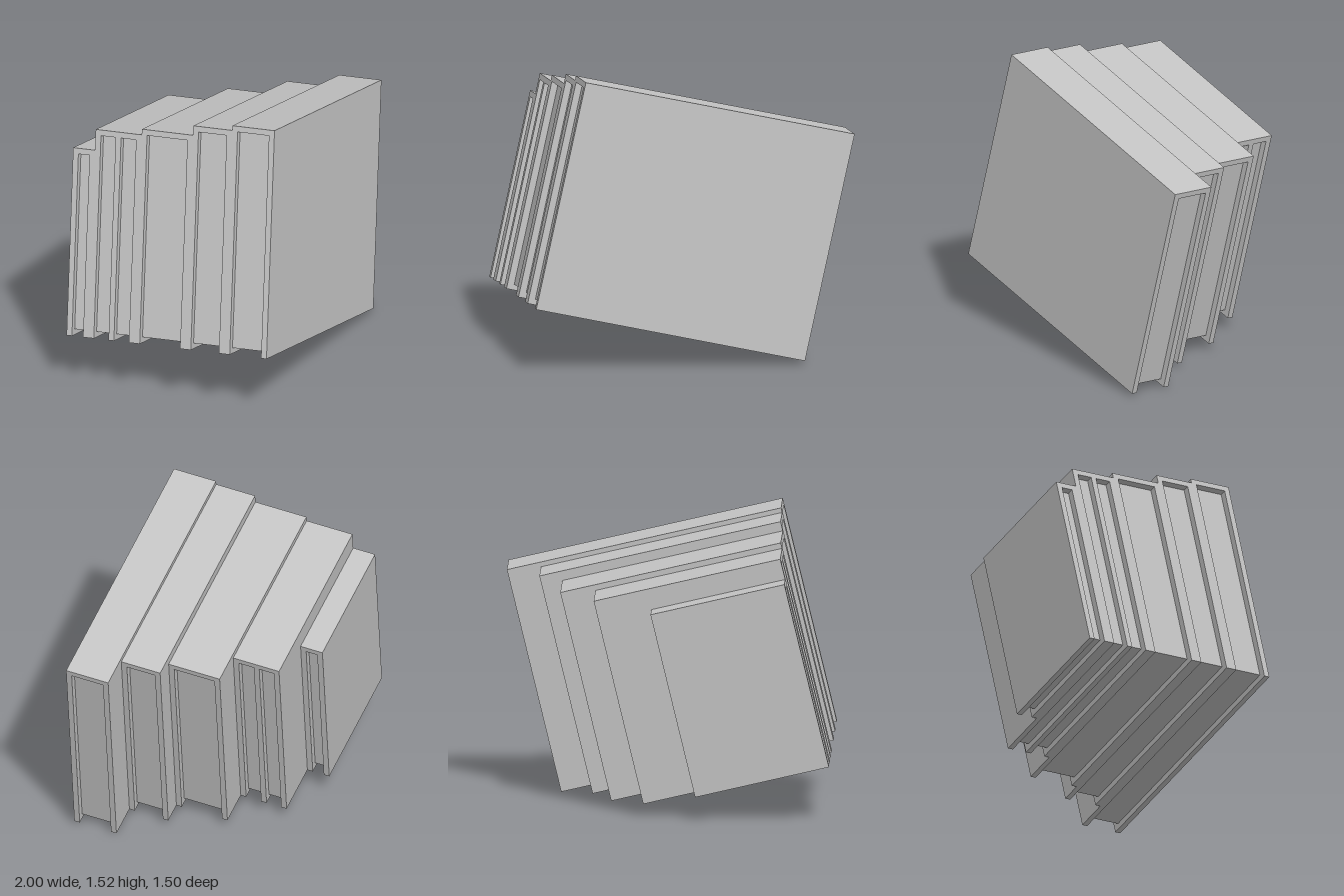
import * as THREE from 'three';

export function createModel() {
  const grey = new THREE.MeshStandardMaterial({ color: 0xc4c4c4 });
  grey.name = 'grey';

  const BOARD = 0.03;   // thickness of covers and spine
  const END = 0.035;    // page recess at both ends
  const FORE = 0.03;    // page recess at the open edge

  // Box between two corners, x along the book, y towards the spine, z through the row
  function slab(name, x0, x1, y0, y1, z0, z1) {
    const mesh = new THREE.Mesh(new THREE.BoxGeometry(x1 - x0, y1 - y0, z1 - z0), grey);
    mesh.position.set((x0 + x1) / 2, (y0 + y1) / 2, (z0 + z1) / 2);
    mesh.name = name;
    return mesh;
  }

  // One book standing on its open edge with the spine on top
  function makeBook(length, height, front, back, divider) {
    const book = new THREE.Group();
    const inFront = front - BOARD, inBack = back + BOARD;
    book.add(
      slab('frontCover', 0, length, 0, height, inFront, front),
      slab('backCover', 0, length, 0, height, back, inBack),
      slab('spine', 0, length, height - BOARD, height, inBack, inFront),
      slab('pages', END, length - END, FORE, height - BOARD, inBack, inFront)
    );
    if (divider !== undefined) {
      book.add(slab('divider', 0, length, 0, height - BOARD, divider - BOARD / 2, divider + BOARD / 2));
    }
    return book;
  }

  // Books from front to back: length, height, depth of back cover, optional divider depth
  const row = new THREE.Group();
  row.name = 'bookRow';
  const books = [
    [1.455, 1.205, 0.235],
    [1.28, 1.18, 0.452],
    [1.17, 1.13, 0.737],
    [0.99, 1.10, 0.993, 0.866],
    [0.71, 0.99, 1.115],
  ];
  let depth = 0;
  books.forEach(([length, height, end, divider], i) => {
    const book = makeBook(length, height, -depth, -end, divider === undefined ? undefined : -divider);
    book.name = 'book' + (i + 1);
    row.add(book);
    depth = end;
  });

  // Tilt of the whole row
  const along = new THREE.Vector3(0.859, -0.230, -0.457).normalize();
  const through = new THREE.Vector3(0.481, 0.058, 0.875);
  const up = new THREE.Vector3().crossVectors(through, along).normalize();
  through.crossVectors(along, up);
  row.quaternion.setFromRotationMatrix(new THREE.Matrix4().makeBasis(along, up, through));
  row.position.set(-0.464, 0.35, 0.75);

  const model = new THREE.Group();
  model.name = 'books';
  model.add(row);
  return model;
}
